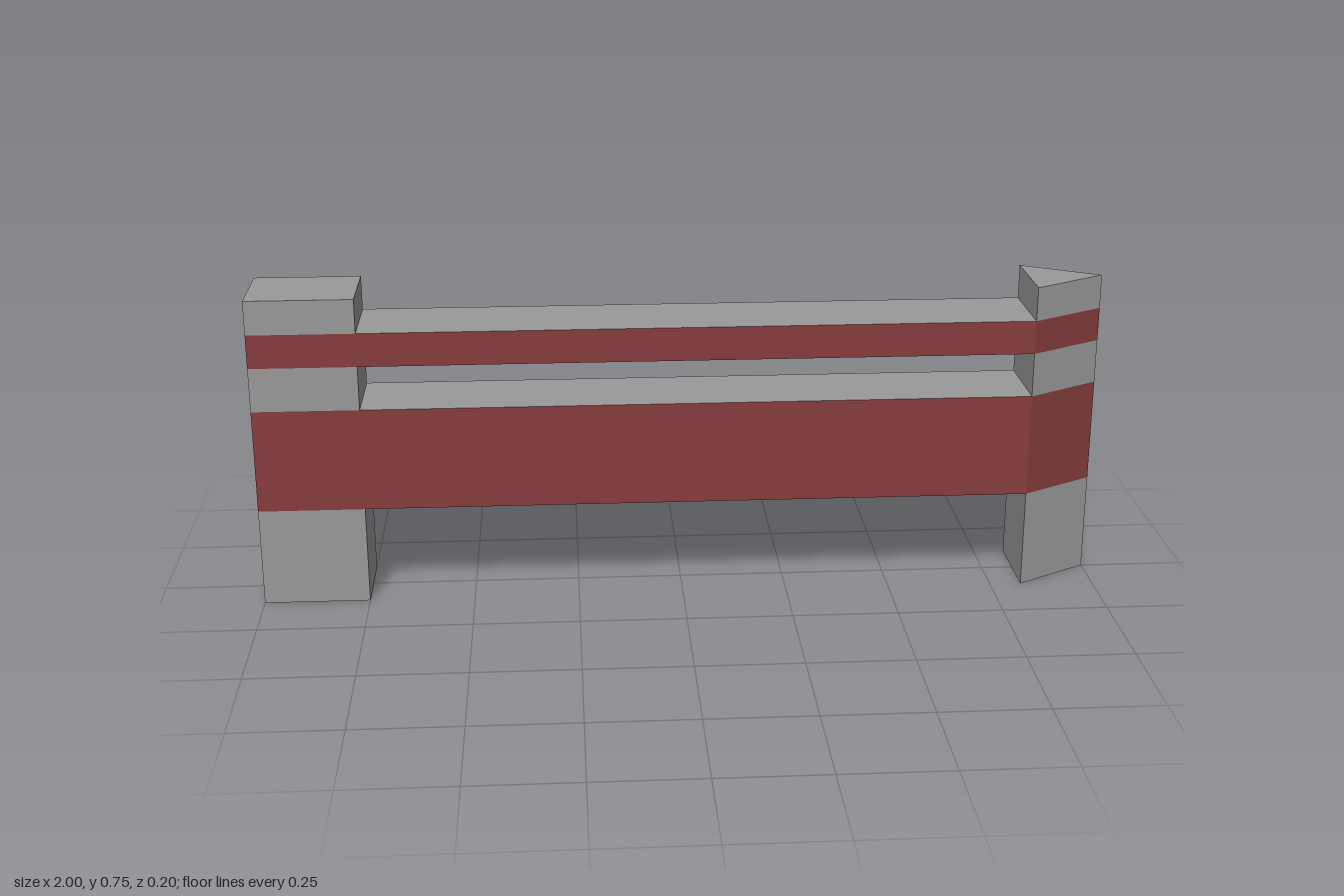
import * as THREE from 'three';

const HALF_DEPTH = 0.1;
const INNER_LEFT = -0.75, INNER_RIGHT = 0.825;
// Heights where the posts change colour, from the ground up
const LEVELS = [0, 0.235, 0.482, 0.587, 0.667, 0.748];

export function createModel() {
  const grey = new THREE.MeshStandardMaterial({ color: 0x999999 });
  grey.name = 'concrete grey';
  const red = new THREE.MeshStandardMaterial({ color: 0x853c3c });
  red.name = 'dark red';

  const model = new THREE.Group();
  model.name = 'barrier';

  // Upright post: a footprint extruded in stacked grey and red bands
  function addPost(name, outline) {
    const post = new THREE.Group();
    post.name = name;
    const footprint = new THREE.Shape(outline.map(([x, z]) => new THREE.Vector2(x, z)));
    for (let i = 0; i < LEVELS.length - 1; i++) {
      const geometry = new THREE.ExtrudeGeometry(footprint, {
        depth: LEVELS[i + 1] - LEVELS[i], bevelEnabled: false,
      });
      geometry.rotateX(-Math.PI / 2).translate(0, LEVELS[i], 0);
      const band = new THREE.Mesh(geometry, i % 2 ? red : grey);
      band.name = i % 2 ? 'redBand' : 'greyBand';
      post.add(band);
    }
    model.add(post);
  }

  // Square-ended post on one side, wedge-shaped post on the other
  addPost('squarePost', [
    [-1, -HALF_DEPTH], [INNER_LEFT, -HALF_DEPTH], [INNER_LEFT, HALF_DEPTH], [-1, HALF_DEPTH],
  ]);
  addPost('wedgePost', [[INNER_RIGHT, -HALF_DEPTH], [1, 0], [INNER_RIGHT, HALF_DEPTH]]);

  // Rails flush with the red bands, with grey top faces
  function addRail(name, bottom, top) {
    const rail = new THREE.Mesh(
      new THREE.BoxGeometry(INNER_RIGHT - INNER_LEFT, top - bottom, HALF_DEPTH * 2),
      [red, red, grey, red, red, red],
    );
    rail.name = name;
    rail.position.set((INNER_LEFT + INNER_RIGHT) / 2, (bottom + top) / 2, 0);
    model.add(rail);
  }
  addRail('lowerRail', LEVELS[1], LEVELS[2]);
  addRail('upperRail', LEVELS[3], LEVELS[4]);

  return model;
}
